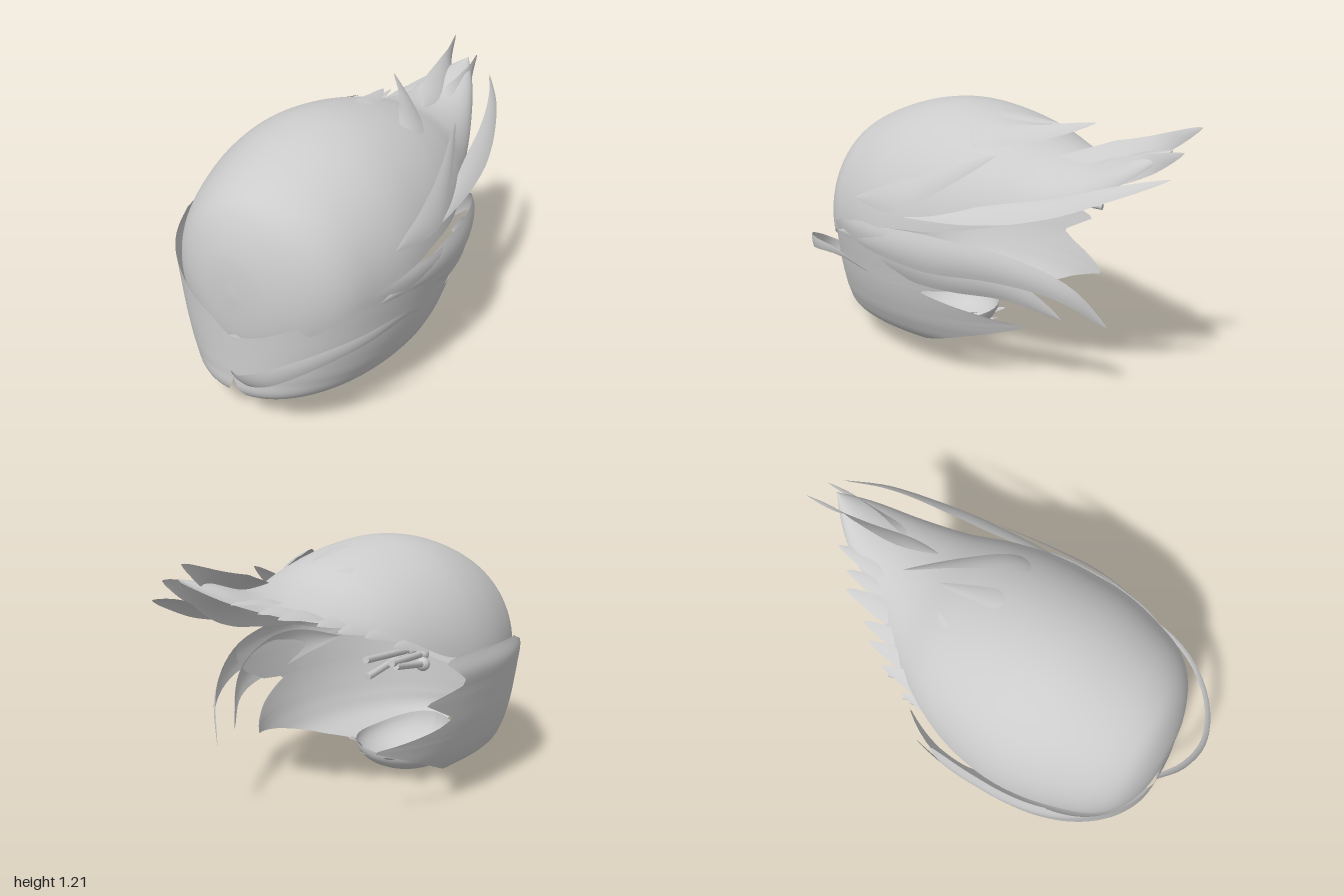
import * as THREE from 'three';

const grey = new THREE.MeshStandardMaterial({ color: 0xcccccc, side: THREE.DoubleSide });
const V = (a) => new THREE.Vector3(...a);

// Smooth surface from a function of u, v in 0..1
function surface(name, fn, nu, nv) {
  const pos = [], idx = [];
  for (let j = 0; j <= nv; j++)
    for (let i = 0; i <= nu; i++) pos.push(...fn(i / nu, j / nv));
  for (let j = 0; j < nv; j++)
    for (let i = 0; i < nu; i++) {
      const a = j * (nu + 1) + i, b = a + nu + 1;
      idx.push(a, a + 1, b, a + 1, b + 1, b);
    }
  const g = new THREE.BufferGeometry();
  g.setAttribute('position', new THREE.Float32BufferAttribute(pos, 3));
  g.setIndex(idx);
  g.computeVertexNormals();
  const m = new THREE.Mesh(g, grey);
  m.name = name;
  return m;
}

// Catmull-Rom blend through evenly spaced rows of numbers, t in 0..1
function blend(rows, t) {
  const n = rows.length - 1, f = t * n, i = Math.min(Math.floor(f), n - 1), s = f - i;
  const r = (k) => rows[Math.max(0, Math.min(n, k))];
  return rows[i].map((p1, c) => {
    const p0 = r(i - 1)[c], p2 = r(i + 1)[c], p3 = r(i + 2)[c];
    return p1 + 0.5 * s * (p2 - p0 + s * (2 * p0 - 5 * p1 + 4 * p2 - p3 + s * (3 * (p1 - p2) + p3 - p0)));
  });
}

// Straight-line lookup in [key, value] pairs
function lookup(table, k) {
  if (k <= table[0][0]) return table[0][1];
  for (let i = 1; i < table.length; i++) {
    const [k0, v0] = table[i - 1], [k1, v1] = table[i];
    if (k <= k1) return v0 + (v1 - v0) * (k - k0) / (k1 - k0);
  }
  return table[table.length - 1][1];
}

// Curved lock: a shallow arched strip along a path, pointed at the tip, facing away from a centre
function lock(name, points, width, { bulge = 0.12, root = 0, from = [0, 0.62, 0.1] } = {}) {
  const curve = new THREE.CatmullRomCurve3(points.map(V)), centre = V(from);
  return surface(name, (u, v) => {
    const p = curve.getPoint(v), t = curve.getTangent(v);
    const n = p.clone().sub(centre);
    n.addScaledVector(t, -n.dot(t)).normalize();
    const side = t.clone().cross(n), s = u * 2 - 1;
    const grow = root + (1 - root) * Math.sin(Math.min(1, v / 0.4) * Math.PI / 2);
    const w = width * grow * Math.min(1, 1.4 * Math.pow(Math.max(0, 1 - v), 0.7));
    return p.addScaledVector(side, s * w).addScaledVector(n, w * bulge * (1 - s * s)).toArray();
  }, 6, 24);
}

// Cap slices from front to back: z, centre x, half width, top, half height, left edge, right edge
const CAP = [
  [0.878, -0.02, 0, 0.62, 0, 0.42, 0.42], [0.862, -0.02, 0.17, 0.8, 0.2, 0.41, 0.41],
  [0.8, -0.01, 0.32, 0.96, 0.345, 0.48, 0.48], [0.7, 0, 0.42, 1.05, 0.43, 0.56, 0.56],
  [0.55, 0, 0.485, 1.12, 0.5, 0.62, 0.62], [0.38, 0, 0.53, 1.17, 0.55, 0.66, 0.66],
  [0.2, 0, 0.54, 1.19, 0.56, 0.69, 0.69], [0, 0.01, 0.515, 1.17, 0.5, 0.71, 0.73],
  [-0.2, 0.02, 0.455, 1.12, 0.4, 0.75, 0.83], [-0.4, 0.045, 0.355, 1.05, 0.28, 0.8, 0.9],
  [-0.6, 0.09, 0.24, 1.04, 0.19, 0.88, 0.95], [-0.8, 0.12, 0.12, 1.1, 0.1, 1.01, 1.03],
  [-0.93, 0.15, 0, 1.13, 0, 1.12, 1.12],
];

function cap() {
  return surface('sweptCap', (u, v) => {
    const [z, cx, w, top, h, left, right] = blend(CAP, v);
    const yc = top - h, side = u * 2 - 1;
    const low = side > 0 ? left : right;
    const a = side * Math.acos(Math.max(-1, Math.min(1, (low - yc) / Math.max(h, 0.005))));
    return [cx + w * Math.sin(a), yc + h * Math.cos(a), z];
  }, 48, 84);
}

// Cheek shell on one side, with a pointed rear edge that depends on height.
// Rows are half width, front depth and back depth at even steps of height.
const CHEEK = [
  [0.28, 0.6, 0.6], [0.42, 0.682, 0.66], [0.48, 0.69, 0.68], [0.515, 0.69, 0.7], [0.54, 0.69, 0.75],
  [0.557, 0.69, 0.82], [0.573, 0.69, 0.88], [0.585, 0.69, 0.92], [0.565, 0.68, 0.92],
];
const CHEEK_LOW = 0.065, CHEEK_HIGH = 0.745;
const NOTCH = [[0.06, 0.2], [0.08, 0.12], [0.11, 0.07], [0.16, 0.025], [0.22, 0]];
const FULL = 0.88;

function cheek(name, side, top, rear) {
  return surface(name, (u, v) => {
    const y = CHEEK_LOW + (lookup(top, u) - CHEEK_LOW) * v;
    const [w, front, back] = blend(CHEEK, (y - CHEEK_LOW) / (CHEEK_HIGH - CHEEK_LOW));
    const start = Math.asin(Math.min(0.9, Math.pow(lookup(NOTCH, y) / w, 1 / FULL)));
    const dz = lookup(rear, y) - 0.2;
    const end = Math.acos(Math.max(-1, Math.min(1, dz / (dz > 0 ? front : back))));
    const a = start + (end - start) * u, c = Math.cos(a), s = Math.sin(a);
    // Fuller curve in front, plain ellipse behind
    const x = c > 0 ? Math.pow(s, FULL) : s, z = c > 0 ? front * Math.pow(c, FULL) : back * c;
    return [side * w * x - 0.03 * Math.max(0, c), y, 0.2 + z];
  }, 40, 48);
}

// Pin with a ball on its inner end
function pin(from, to) {
  const a = V(from), b = V(to), g = new THREE.Group();
  g.name = 'pin';
  const rod = new THREE.Mesh(new THREE.CylinderGeometry(0.015, 0.015, a.distanceTo(b), 10), grey);
  rod.position.copy(a).lerp(b, 0.5);
  rod.quaternion.setFromUnitVectors(V([0, 1, 0]), b.clone().sub(a).normalize());
  rod.name = 'pinRod';
  const ball = new THREE.Mesh(new THREE.SphereGeometry(0.032, 14, 10), grey);
  ball.position.copy(a);
  ball.name = 'pinBall';
  g.add(rod, ball);
  return g;
}

export function createModel() {
  const model = new THREE.Group();
  model.name = 'sweptHairShell';
  model.add(cap());

  // Cheeks
  model.add(cheek('leftCheek', 1,
    [[0, 0.43], [0.1, 0.46], [0.3, 0.57], [0.5, 0.66], [0.65, 0.7], [1, 0.68]],
    [[0.06, 0.35], [0.15, 0.12], [0.22, -0.1], [0.29, -0.36], [0.36, -0.16], [0.43, 0.08], [0.46, -0.1], [0.54, -0.26], [0.62, -0.32], [0.7, -0.25]]));
  model.add(cheek('rightCheek', -1,
    [[0, 0.43], [0.08, 0.5], [0.3, 0.6], [0.62, 0.73], [1, 0.74]],
    [[0.06, 0.35], [0.15, 0.12], [0.25, -0.1], [0.34, -0.33], [0.41, -0.06], [0.45, 0.02], [0.55, -0.17], [0.6, 0.04], [0.63, 0.05], [0.72, -0.07], [0.74, 0.04]]));

  // Chin bowl: rim raised in front, with short tips at the back
  model.add(surface('chinBowl', (u, v) => {
    const a = u * Math.PI * 2, p = v * Math.PI / 2, c = Math.cos(a);
    const rim = 0.14 + (c > 0 ? 0.07 * c * c : 0);
    return [-0.02 + 0.25 * Math.sin(p) * Math.sin(a), rim - (rim - 0.003) * Math.cos(p), 0.37 + 0.26 * Math.sin(p) * c];
  }, 32, 12));
  [[-0.1, 0.13], [-0.04, 0.1], [0.04, 0.12], [0.11, 0.18]].forEach(([x, y]) =>
    model.add(lock('chinTip', [[x, 0.08, 0.19], [x, y - 0.02, 0.14], [x * 1.05, y + 0.01, 0.075]], 0.035)));

  // Hooked side locks
  model.add(lock('upperHook', [[0.5, 0.6, 0.6], [0.57, 0.63, 0.28], [0.562, 0.625, -0.05], [0.47, 0.6, -0.35], [0.35, 0.51, -0.57], [0.21, 0.34, -0.7]], 0.085, { bulge: 0.2 }));
  model.add(lock('lowerHook', [[0.52, 0.56, 0.5], [0.56, 0.57, 0.2], [0.535, 0.54, -0.1], [0.42, 0.49, -0.36], [0.29, 0.36, -0.52]], 0.09, { bulge: 0.2 }));

  // Loose lock arching out in front
  model.add(lock('frontLoop', [[-0.03, 0.245, 0.885], [0.07, 0.3, 0.97], [0.2, 0.37, 1.0], [0.36, 0.45, 0.92], [0.5, 0.505, 0.74], [0.565, 0.52, 0.52], [0.56, 0.46, 0.33]], 0.042, { root: 0.5 }));

  // Long locks over the side
  model.add(lock('sideLock', [[0.5, 0.78, 0.47], [0.525, 0.83, 0.2], [0.485, 0.92, 0], [0.4, 1.06, -0.26]], 0.07));
  model.add(lock('longLock', [[0.53, 0.75, 0.15], [0.49, 0.81, -0.2], [0.43, 0.89, -0.55], [0.35, 0.98, -0.8], [0.25, 1.04, -0.98]], 0.055, { from: [0.15, 0.45, -0.3] }));

  // Rear plume, split into tips
  [
    [[0.16, 1.03, -0.4], [0.12, 1.06, -0.62], [0.08, 1.12, -0.82], [0.04, 1.21, -1]],
    [[0.2, 0.99, -0.42], [0.21, 1.01, -0.65], [0.195, 1.06, -0.83], [0.17, 1.13, -0.99]],
  ].forEach((path) => model.add(lock('plumeLock', path, 0.07)));

  // Crown locks
  [
    [0.07, [[0.34, 1.02, 0.1], [0.27, 1.09, -0.08], [0.14, 1.11, -0.28], [-0.03, 1.15, -0.47]]],
    [0.05, [[0.05, 1.17, 0.05], [0.05, 1.155, -0.06], [0.03, 1.14, -0.18], [0, 1.13, -0.31]]],
    [0.04, [[-0.26, 1.05, 0.03], [-0.22, 1.07, -0.07], [-0.16, 1.09, -0.17], [-0.1, 1.095, -0.26]]],
  ].forEach(([width, path]) => model.add(lock('crownLock', path, width)));

  // Row of tips along the right rim
  [[-0.42, 0.8, -0.27], [-0.37, 0.86, -0.4], [-0.31, 0.89, -0.5], [-0.25, 0.92, -0.56], [-0.17, 0.96, -0.7], [-0.1, 0.98, -0.74], [-0.03, 1.02, -0.82]].forEach(([x, y, z]) =>
    model.add(lock('rimTip', [[x, y - 0.02, z + 0.3], [x + 0.005, y, z + 0.15], [x, y + 0.01, z]], 0.05, { root: 0.6, from: [0.1, 0.3, z] })));

  // Pins in the opening
  [
    [[-0.29, 0.72, 0.02], [-0.36, 0.77, -0.38]],
    [[-0.33, 0.7, 0.06], [-0.41, 0.74, -0.27]],
    [[-0.28, 0.7, -0.02], [-0.33, 0.68, -0.33]],
    [[-0.35, 0.66, 0.04], [-0.41, 0.72, -0.24]],
  ].forEach(([a, b]) => model.add(pin(a, b)));

  return model;
}
